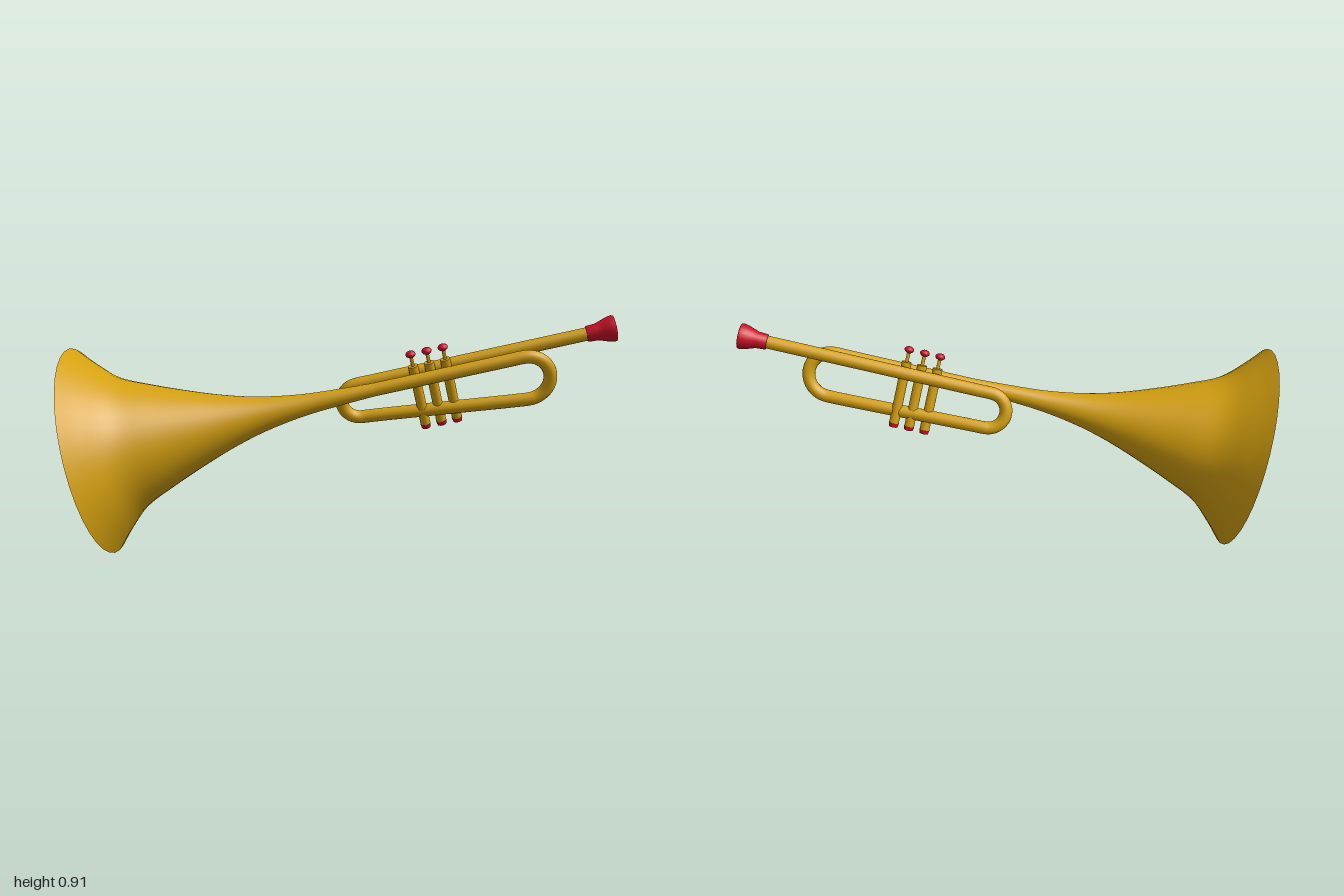
import * as THREE from 'three';

const brass = new THREE.MeshStandardMaterial({ color: 0xd4a010, side: THREE.DoubleSide });
const red = new THREE.MeshStandardMaterial({ color: 0xcc1028, side: THREE.DoubleSide });

const LEAD_Z = -0.08; // sideways offset of the lead pipe from the bell axis
const PIPE_R = 0.025;

function add(parent, name, geometry, material, x = 0, y = 0, z = 0) {
  const mesh = new THREE.Mesh(geometry, material);
  mesh.name = name;
  mesh.position.set(x, y, z);
  parent.add(mesh);
  return mesh;
}

// Lathe around the x axis from [x, radius] pairs
function latheX(points, segments) {
  const geometry = new THREE.LatheGeometry(points.map(([x, r]) => new THREE.Vector2(r, x)), segments);
  return geometry.rotateZ(-Math.PI / 2);
}

// Half circle hanging below y = 0; dir +1 bulges forward along x, -1 backward
function bow(x, z, height, dir) {
  const r = height / 2;
  const points = [];
  for (let i = 0; i <= 12; i++) {
    const a = Math.PI * i / 12;
    points.push(new THREE.Vector3(x + dir * r * Math.sin(a), -r + r * Math.cos(a), z));
  }
  return points;
}

function createValve() {
  const valve = new THREE.Group();
  valve.name = 'valve';
  add(valve, 'valveCasing', new THREE.CylinderGeometry(0.019, 0.019, 0.25, 16), brass, 0, -0.085);
  add(valve, 'valveBottomCap', new THREE.CylinderGeometry(0.02, 0.017, 0.016, 16), red, 0, -0.216);
  add(valve, 'valveStem', new THREE.CylinderGeometry(0.007, 0.007, 0.05, 10), brass, 0, 0.06);
  add(valve, 'valveButton', new THREE.SphereGeometry(0.019, 16, 10), red, 0, 0.088).scale.y = 0.7;
  return valve;
}

export function createModel() {
  const model = new THREE.Group();
  model.name = 'trumpet';

  // Instrument frame: x runs from bell to mouthpiece, y along the valves
  const horn = new THREE.Group();
  horn.name = 'horn';
  const along = new THREE.Vector3(0.862, 0.226, 0.4526).normalize();
  const side = along.clone().cross(new THREE.Vector3(-0.322, 0.935, 0.145)).normalize();
  const up = side.clone().cross(along);
  horn.quaternion.setFromRotationMatrix(new THREE.Matrix4().makeBasis(along, up, side));
  horn.position.set(-0.795, 0.388, -0.25);
  model.add(horn);

  // Flared bell
  const profile = new THREE.SplineCurve([
    [0, 0.4], [0.06, 0.335], [0.15, 0.255], [0.27, 0.2], [0.41, 0.145],
    [0.54, 0.1], [0.67, 0.066], [0.82, 0.042], [0.97, 0.031], [1.1, PIPE_R],
  ].map(([x, r]) => new THREE.Vector2(x, r)));
  add(horn, 'bell', latheX(profile.getPoints(45).map(p => [p.x, p.y]), 36), brass);

  // One continuous pipe: bell tail, front bow, lower run, rear bow, lead pipe
  const path = new THREE.CatmullRomCurve3([
    new THREE.Vector3(1.06, 0, 0), new THREE.Vector3(1.35, 0, 0), new THREE.Vector3(1.6, 0, 0),
    ...bow(1.657, 0, 0.174, 1),
    new THREE.Vector3(1.6, -0.172, -0.007), new THREE.Vector3(1.35, -0.158, -0.04),
    new THREE.Vector3(1.09, -0.143, -0.073),
    ...bow(1.03, LEAD_Z, 0.14, -1).reverse(),
    new THREE.Vector3(1.09, 0, LEAD_Z), new THREE.Vector3(1.5, 0, LEAD_Z),
    new THREE.Vector3(1.93, 0, LEAD_Z),
  ]);
  path.arcLengthDivisions = 600;
  add(horn, 'pipe', new THREE.TubeGeometry(path, 260, PIPE_R, 16), brass);

  // Mouthpiece with a hollow cup
  add(horn, 'mouthpiece', latheX([
    [1.905, 0.024], [1.91, 0.03], [1.945, 0.032], [1.965, 0.039], [1.985, 0.046],
    [2.005, 0.05], [2.012, 0.048], [2.01, 0.043], [1.99, 0.035], [1.972, 0.018], [1.968, 0],
  ], 24), red, 0, 0, LEAD_Z);

  // Three valves between the two upper pipes
  for (let i = 0; i < 3; i++) {
    const valve = createValve();
    valve.position.set(1.255 + i * 0.061, 0, -0.047);
    horn.add(valve);
  }
  return model;
}
